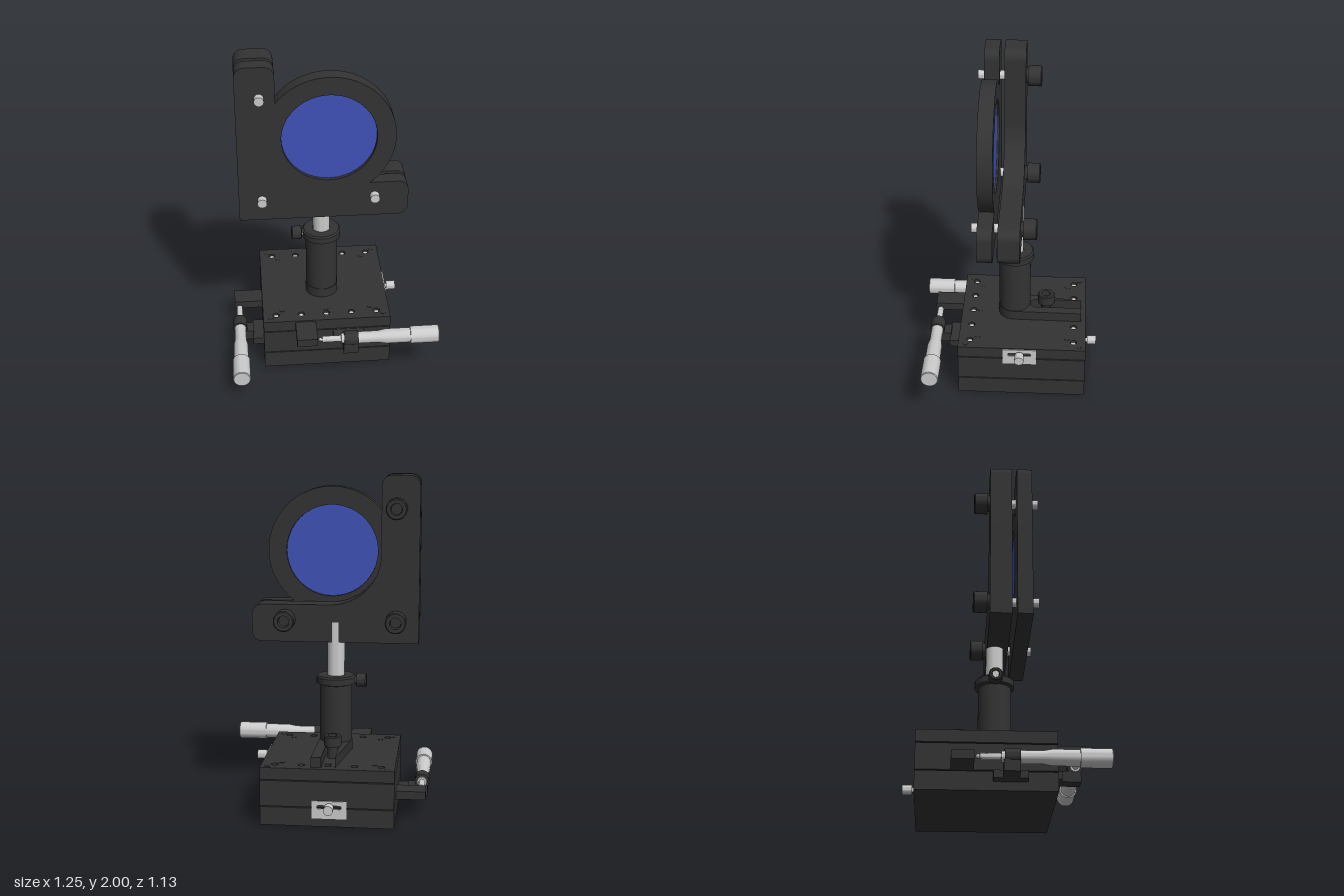
import * as THREE from 'three';
import { toCreasedNormals } from 'three/addons/utils/BufferGeometryUtils.js';

const dark = new THREE.MeshStandardMaterial({ color: 0x333333 });
const grey = new THREE.MeshStandardMaterial({ color: 0xcccccc });
const blue = new THREE.MeshStandardMaterial({ color: 0x4052b8 });
const PI = Math.PI;

function add(parent, name, geometry, material = dark) {
  const mesh = new THREE.Mesh(geometry, material);
  mesh.name = name;
  parent.add(mesh);
  return mesh;
}

// Box given by its low and high limits on each axis
function box(parent, name, [x0, x1], [y0, y1], [z0, z1], material) {
  const g = new THREE.BoxGeometry(x1 - x0, y1 - y0, z1 - z0);
  g.translate((x0 + x1) / 2, (y0 + y1) / 2, (z0 + z1) / 2);
  return add(parent, name, g, material);
}

// Turned part: profile of [radius, height], spun about y, then aimed along a direction
function turned(parent, name, profile, pos, dir, material) {
  const pts = profile.map(([r, h]) => new THREE.Vector2(r, h));
  const g = toCreasedNormals(new THREE.LatheGeometry(pts, 40), 0.5);
  const mesh = add(parent, name, g, material);
  mesh.position.set(...pos);
  mesh.quaternion.setFromUnitVectors(new THREE.Vector3(0, 1, 0), new THREE.Vector3(...dir));
  return mesh;
}
const rod = (r, h) => [[0, 0], [r, 0], [r, h], [0, h]];

// Cap with a neck and a recessed socket
const knob = (r, h, neck) => [[0, 0], [r * 0.75, 0], [r * 0.75, neck], [r, neck], [r, h - 0.006], [r - 0.006, h],
  [r * 0.55, h], [r * 0.5, h - 0.035], [0, h - 0.035]];

function extrude(shape, depth) {
  return toCreasedNormals(new THREE.ExtrudeGeometry(shape, { depth, bevelEnabled: false, curveSegments: 40 }), 0.5);
}

function circleHole(shape, x, y, r) {
  const p = new THREE.Path();
  p.absarc(x, y, r, 0, 2 * PI, true);
  shape.holes.push(p);
}

const CX = -0.015, CY = 1.54;

// L-shaped plate; the inner corner is either a round lobe or a concave arc
function platePath(lobe) {
  const s = new THREE.Shape();
  const r = 0.06, L = -0.545, R = 0.45, B = 1.01, T = 2, inX = -0.32, inY = 1.235;
  s.moveTo(L, B);
  s.lineTo(R - r, B);
  s.absarc(R - r, B + r, r, -PI / 2, 0, false);
  s.absarc(R - r, inY - r, r, 0, PI / 2, false);
  if (lobe) {
    const a = Math.asin((inY - CY) / 0.385);
    s.absarc(CX, CY, 0.385, a, PI / 2 - a, false);
  } else {
    s.absarc(CX, CY, 0.305, -PI / 2, -PI, true);
  }
  s.absarc(inX - r, T - r, r, 0, PI / 2, false);
  s.absarc(L + r, T - r, r, PI / 2, PI, false);
  s.closePath();
  return s;
}

function mirrorMount() {
  const g = new THREE.Group();
  g.name = 'mirrorMount';
  const front = platePath(true);
  circleHole(front, CX, CY, 0.275);
  add(g, 'frontPlate', extrude(front, 0.09)).position.z = 0.067;
  add(g, 'backPlate', extrude(platePath(false), 0.128)).position.z = -0.09;
  turned(g, 'mirror', rod(0.275, 0.055), [CX, CY, 0.08], [0, 0, 1], blue);
  for (const [x, y] of [[-0.41, 1.81], [-0.41, 1.145], [0.25, 1.145]]) {
    turned(g, 'adjusterScrew', rod(0.028, 0.28), [x, y, -0.08], [0, 0, 1], grey);
    turned(g, 'adjusterKnob', knob(0.062, 0.095, 0.014), [x, y, -0.088], [0, 0, -1]);
  }
  return g;
}

function postAndHolder() {
  const g = new THREE.Group();
  g.name = 'postHolder';
  const x = -0.05, z = -0.042;
  turned(g, 'post', rod(0.052, 0.73), [x, 0.4, z], [0, 1, 0], grey);
  turned(g, 'holderTube', [[0, 0], [0.097, 0], [0.097, 0.405], [0.117, 0.412], [0.117, 0.45], [0.108, 0.46],
    [0.053, 0.46], [0.053, 0.42]], [x, 0.345, z], [0, 1, 0]);
  turned(g, 'thumbScrewShaft', rod(0.02, 0.12), [x - 0.06, 0.775, z], [-1, 0, 0], grey);
  turned(g, 'thumbScrew', knob(0.041, 0.065, 0.004), [x - 0.12, 0.775, z], [-1, 0, 0]);

  // Slotted foot, round at the front and open at the back
  const f = new THREE.Shape();
  f.moveTo(-0.15, 0.46);
  f.absarc(x, 0.042, 0.1, PI, 2 * PI, false);
  f.lineTo(0.055, 0.46);
  f.lineTo(-0.005, 0.46);
  f.absarc(-0.045, 0.18, 0.04, 0, -PI, true);
  f.lineTo(-0.085, 0.46);
  f.closePath();
  const foot = extrude(f, 0.06);
  foot.rotateX(-PI / 2);
  add(g, 'slottedFoot', foot).position.y = 0.345;
  turned(g, 'footScrew', rod(0.032, 0.1), [x, 0.34, -0.24], [0, 1, 0]);
  turned(g, 'footScrewHead', knob(0.052, 0.077, 0.015), [x, 0.404, -0.24], [0, 1, 0]);
  return g;
}

// Micrometer running along x, with its stop block and bracket
function micrometer(name) {
  const g = new THREE.Group();
  g.name = name;
  const y = 0.31, z = 0.145;
  turned(g, 'spindle', [[0, 0], [0.008, 0.003], [0.011, 0.01], [0.011, 0.022], [0.019, 0.024], [0.019, 0.136],
    [0.03, 0.137], [0.03, 0.17]], [-0.105, y, z], [1, 0, 0], grey);
  turned(g, 'thimble', [[0, 0], [0.036, 0], [0.036, 0.13], [0.045, 0.18], [0.045, 0.325], [0.053, 0.326],
    [0.053, 0.496], [0.049, 0.5], [0, 0.5]], [0.125, y, z], [1, 0, 0], grey);
  turned(g, 'clampRing', rod(0.044, 0.085), [0.05, y, z], [1, 0, 0]);
  box(g, 'stopBlock', [-0.235, -0.11], [0.285, 0.335], [-0.02, 0.175]);
  box(g, 'bracketBase', [-0.005, 0.185], [0.22, 0.265], [-0.02, 0.065]);
  box(g, 'bracketArm', [0.045, 0.135], [0.22, 0.285], [0.06, 0.18]);
  return g;
}

// Slotted lock plate facing +z, with a grey screw
function lockPlate(name) {
  const g = new THREE.Group();
  g.name = name;
  const s = new THREE.Shape();
  s.moveTo(-0.102, -0.07);
  s.lineTo(0.102, -0.07);
  s.lineTo(0.102, 0.035);
  s.lineTo(-0.102, 0.035);
  s.closePath();
  const slot = new THREE.Path();
  slot.absarc(-0.06, 0, 0.012, PI / 2, PI * 1.5, false);
  slot.absarc(0.06, 0, 0.012, -PI / 2, PI / 2, false);
  slot.closePath();
  s.holes.push(slot);
  add(g, 'plate', extrude(s, 0.007), grey);
  turned(g, 'lockScrew', [[0, 0], [0.014, 0], [0.014, 0.017], [0.028, 0.017], [0.028, 0.073], [0, 0.073]],
    [0, 0, 0], [0, 0, 1], grey);
  return g;
}

function stage() {
  const g = new THREE.Group();
  g.name = 'translationStage';
  const X = [-0.43, 0.35], Z = [-0.49, 0.29];
  box(g, 'baseLayer', X, [0, 0.109], Z);
  box(g, 'middleLayer', X, [0.115, 0.268], Z);
  box(g, 'slideCore', [-0.4, 0.32], [0.1, 0.28], [-0.46, 0.26]);

  // Drilled top layer with recessed screws
  const top = new THREE.Shape();
  top.moveTo(X[0], -Z[1]);
  top.lineTo(X[1], -Z[1]);
  top.lineTo(X[1], -Z[0]);
  top.lineTo(X[0], -Z[0]);
  top.closePath();
  for (let i = 0; i < 5; i++) for (const z of [-0.415, 0.22]) {
    const x = -0.35 + i * 0.155;
    circleHole(top, x, -z, 0.02);
    turned(g, 'insetScrew', rod(0.015, 0.055), [x, 0.28, z], [0, 1, 0], grey);
  }
  const plate = extrude(top, 0.071);
  plate.rotateX(-PI / 2);
  add(g, 'topLayer', plate).position.y = 0.274;

  // Flush plugs
  for (const [x, z] of [[-0.385, -0.45], [0.31, -0.45], [-0.385, 0.245], [0.31, 0.245], [-0.31, -0.375],
    [-0.04, -0.375], [0.235, -0.375], [-0.31, 0.175], [-0.04, 0.175], [0.235, 0.175]])
    turned(g, 'plug', rod(0.017, 0.012), [x, 0.335, z], [0, 1, 0]);

  const micX = micrometer('frontMicrometer');
  micX.position.z = Z[1];
  const micZ = micrometer('sideMicrometer');
  micZ.rotation.y = -PI / 2;
  micZ.position.set(X[0], -0.17, -0.06);
  const sideLock = lockPlate('sideLock');
  sideLock.rotation.y = PI / 2;
  sideLock.position.set(X[1], 0.305, -0.087);
  const backLock = lockPlate('backLock');
  backLock.rotation.y = PI;
  backLock.position.set(-0.055, 0.12, Z[0]);
  g.add(micX, micZ, sideLock, backLock);
  return g;
}

export function createModel() {
  const model = new THREE.Group();
  model.name = 'opticalMirrorStage';
  model.add(stage(), postAndHolder(), mirrorMount());
  return model;
}
